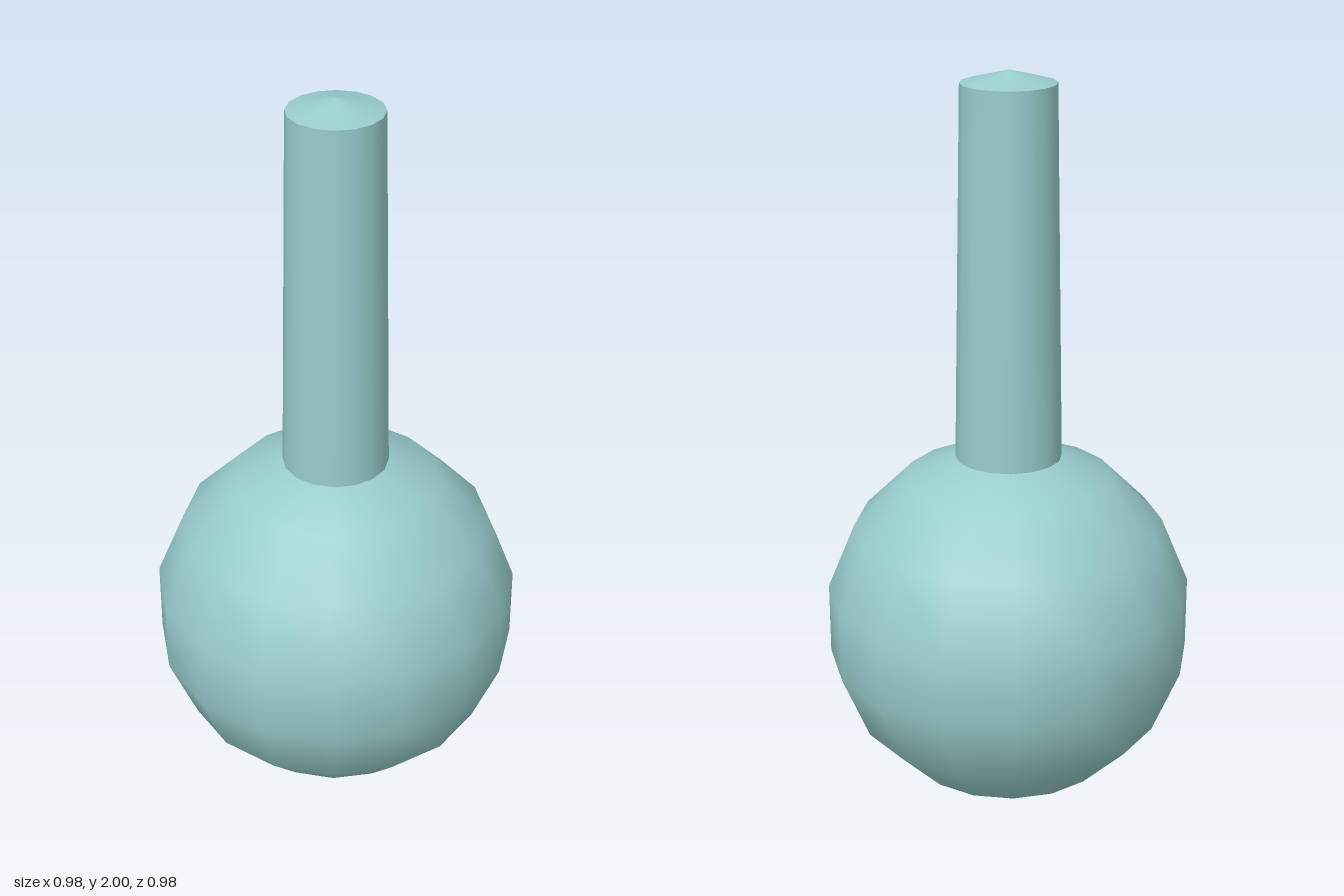
import * as THREE from 'three';

const SIDES = 16;

export function createModel() {
  const group = new THREE.Group();
  const material = new THREE.MeshStandardMaterial({ color: 0x99cccc });

  // Turn a [radius, height] profile, listed bottom to top, around the y axis
  const turn = (name, profile) => {
    const points = profile.map(([r, y]) => new THREE.Vector2(r, y));
    const mesh = new THREE.Mesh(new THREE.LatheGeometry(points, SIDES), material);
    mesh.name = name;
    group.add(mesh);
  };

  // Round body: eight rings staggered half a step from the poles
  const radius = 0.5, centre = 0.503;
  const body = [[0, 0]];
  for (let i = 0; i < 8; i++) {
    const a = ((i + 0.5) / 8) * Math.PI;
    body.push([radius * Math.sin(a), centre - radius * Math.cos(a)]);
  }
  body.push([0, centre + radius]);
  turn('body', body);

  // Slightly tapered neck, with a sharp rim under its shallow conical cap
  turn('neck', [[0.142, 0.97], [0.124, 1.968]]);
  turn('neckCap', [[0.124, 1.968], [0, 2]]);

  return group;
}
